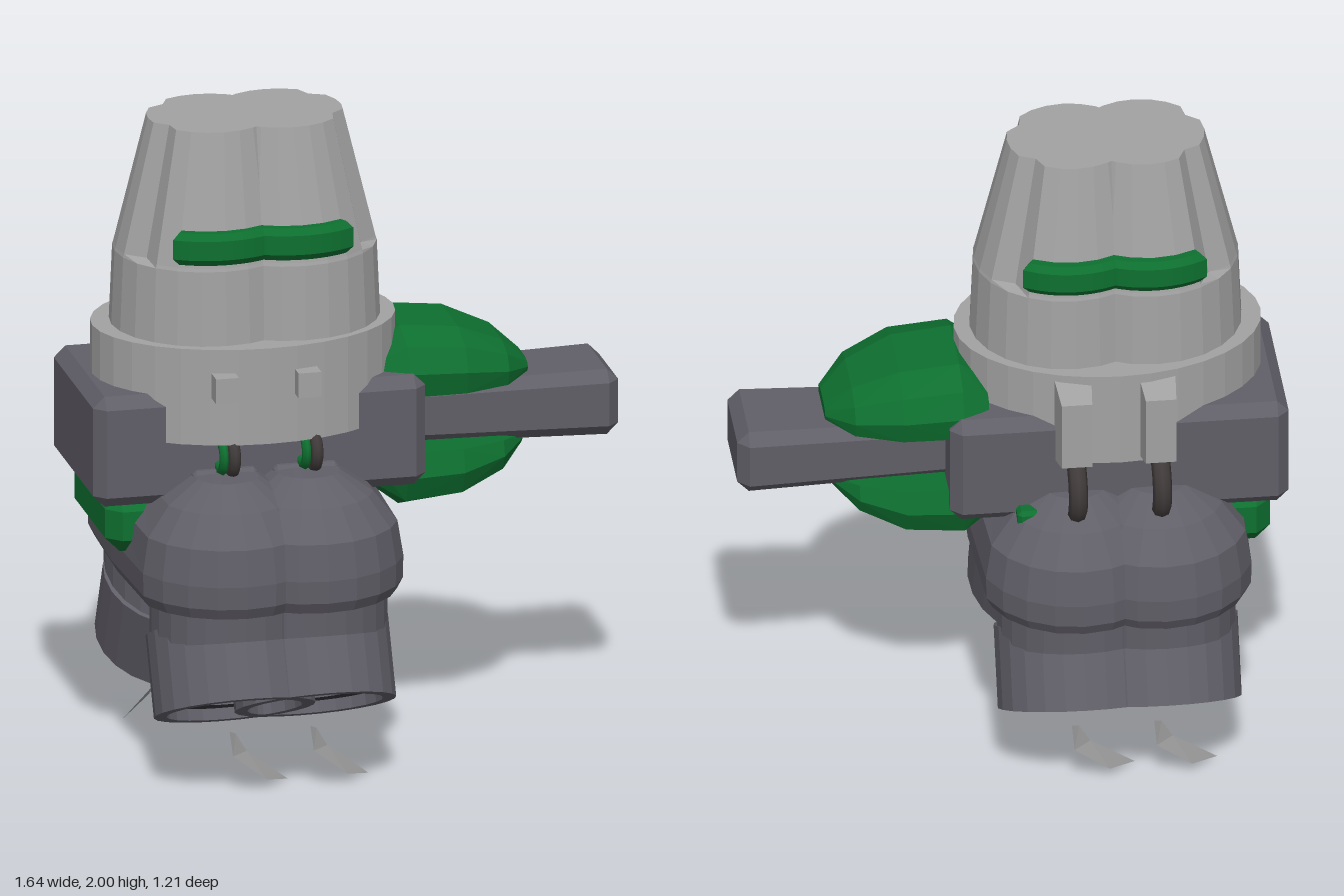
import * as THREE from 'three';
import { ConvexGeometry } from 'three/addons/geometries/ConvexGeometry.js';

const mat = (name, color) => {
  const m = new THREE.MeshStandardMaterial({ color });
  m.name = name;
  return m;
};
const V = (x, y, z) => new THREE.Vector3(x, y, z);

// faceted normals
function flat(geo) {
  const g = geo.index ? geo.toNonIndexed() : geo;
  g.computeVertexNormals();
  return g;
}

// moves every vertex by a rule
function warp(geo, rule) {
  const p = geo.attributes.position, v = V(0, 0, 0);
  for (let i = 0; i < p.count; i++) {
    rule(v.fromBufferAttribute(p, i));
    p.setXYZ(i, v.x, v.y, v.z);
  }
  return geo;
}

const lathe = (pts, n = 24) => new THREE.LatheGeometry(pts.map(p => new THREE.Vector2(p[0], p[1])), n);

// chamfered box from its limits; rule can reshape the corners
function chamferBox([x0, x1], [y0, y1], [z0, z1], c, rule = () => {}) {
  const pts = [];
  const h = [(x1 - x0) / 2, (y1 - y0) / 2, (z1 - z0) / 2];
  for (const sx of [-1, 1]) for (const sy of [-1, 1]) for (const sz of [-1, 1])
    for (let k = 0; k < 3; k++) {
      const d = h.map((v, i) => (i === k ? v : v - c));
      const p = V((x0 + x1) / 2 + sx * d[0], (y0 + y1) / 2 + sy * d[1], (z0 + z1) / 2 + sz * d[2]);
      rule(p);
      pts.push(p);
    }
  return new ConvexGeometry(pts);
}

export function createModel() {
  const model = new THREE.Group();
  const light = mat('light grey', 0xa2a2a2);
  const dark = mat('dark grey', 0x605e67);
  const green = mat('green', 0x0e7030);
  const hose = mat('hose brown', 0x403a3a);
  const inner = mat('inner black', 0x39393c);
  const plate = mat('claw grey', 0x9a9a9a);
  plate.side = THREE.DoubleSide;

  const add = (name, geo, material, parent = model) => {
    const m = new THREE.Mesh(geo, material);
    m.name = name;
    parent.add(m);
    return m;
  };
  const cx = -0.3075, cz = -0.012;

  // collar ring around the tower foot
  const collar = new THREE.CylinderGeometry(1, 1, 0.3, 32);
  collar.scale(0.462, 1, 0.342);
  collar.translate(-0.3125, 1.21, -0.015);
  add('collar', flat(collar), light);

  for (const s of [-1, 1]) {
    // tower lobe: straight drum, then taper with two grooves on the outer side
    const lobe = lathe([[0, 1.3], [0.287, 1.3], [0.287, 1.36], [0.277, 1.59], [0.274, 1.6], [0.19, 2], [0, 2]]);
    warp(lobe, v => {
      const a = Math.round(Math.atan2(v.z, v.x * s) * 180 / Math.PI);
      if (v.y > 1.595 && (a === 30 || a === -45)) { v.x *= 0.87; v.z *= 0.87; }
      const t = Math.max(0, (v.y - 1.59) / 0.41);
      v.x += cx + s * (0.122 - 0.015 * t);
      v.z += cz;
    });
    add('towerLobe', flat(lobe), light);

    // curved visors, front and back
    for (const back of [0, 1]) {
      const side = back ? -s : s;
      const lo = side > 0 ? 60 : 60 - 6, hi = side > 0 ? 126 : 120;
      const r0 = 0.225, r1 = 0.275, a0 = lo * Math.PI / 180, a1 = hi * Math.PI / 180;
      const sh = new THREE.Shape();
      sh.absarc(0, 0, r1, a0, a1, false);
      sh.absarc(0, 0, r0, a1, a0, true);
      const g = new THREE.ExtrudeGeometry(sh, {
        depth: 0.06, bevelEnabled: true, bevelSize: 0.015, bevelThickness: 0.02, bevelSegments: 1, curveSegments: 5
      });
      g.translate(0, 0, -0.03);
      g.rotateX(Math.PI / 2);
      if (back) g.rotateY(Math.PI);
      g.translate(cx + s * 0.119, 1.66, cz);
      add(back ? 'rearVisor' : 'frontVisor', flat(g), green);
    }
  }

  // chassis block, arm and green covers
  add('chassis', chamferBox([-0.825, 0.195], [0.862, 1.207], [-0.335, 0.245], 0.035), dark);
  add('arm', chamferBox([0.1, 0.82], [0.93, 1.135], [-0.21, 0.11], 0.035, p => {
    const k = 0.86 + 0.14 * Math.min(1, Math.max(0, (p.x - 0.1) / 0.65));
    p.y = 1.033 + (p.y - 1.033) * k;
    p.z = -0.05 + (p.z + 0.05) * k;
  }), dark);
  const sections = [[0.07, 0.22, 1.26], [0.15, 0.25, 1.318], [0.33, 0.247, 1.3], [0.47, 0.19, 1.24], [0.55, 0.09, 1.17]];
  for (const up of [1, -1]) {
    const pts = [];
    for (const [x, w, top] of sections) for (const s of [-1, 1]) {
      const low = x > 0.5 ? 1.135 : 1.125, h = top - low;
      for (const [kw, kh] of [[0.92, 0], [1, 0.4], [0.86, 0.8], [0.45, 1]])
        pts.push(V(up > 0 ? x : x * 0.97, 1.038 + up * (low + h * kh - 1.038), -0.045 + s * w * kw));
    }
    add(up > 0 ? 'upperCover' : 'lowerCover', new ConvexGeometry(pts), green);
  }
  add('sideCover', chamferBox([-0.775, -0.42], [0.7, 0.88], [-0.29, 0.2], 0.045), green);
  add('rearTab', chamferBox([-0.07, 0], [0.86, 0.92], [-0.385, -0.3], 0.012), green);

  // fittings and hoses in pairs
  for (const x of [-0.43, -0.177]) {
    const knob = new THREE.BoxGeometry(0.07, 0.078, 0.1);
    knob.translate(x - 0.018, 1.248, 0.315);
    add('frontKnob', knob, light);

    const box = warp(new THREE.BoxGeometry(0.115, 0.285, 0.13), v => {
      if (v.z < 0) { v.x *= 0.8; v.y *= 0.76; }
      v.x += x + 0.004; v.y += 1.2025; v.z -= 0.363;
    });
    add('rearBox', flat(box), light);

    const rear = add('rearHose', new THREE.TorusGeometry(0.092, 0.029, 8, 20), hose);
    rear.rotation.y = Math.PI / 2;
    rear.position.set(x + 0.002, 0.995, -0.356);
    const front = add('frontHose', new THREE.TorusGeometry(0.05, 0.019, 8, 16), hose);
    front.rotation.y = Math.PI / 2;
    front.position.set(x + 0.015, 1.015, 0.27);
    const strip = add('frontStrip', new THREE.TorusGeometry(0.045, 0.016, 6, 16), green);
    strip.rotation.y = Math.PI / 2;
    strip.position.set(x - 0.014, 1.015, 0.265);
  }

  // legs: a long domed hip with two bent legs under each side
  for (const x of [-0.43, -0.182]) {
    const side = new THREE.Group();
    side.name = 'legPair';
    side.position.set(x, 0, -0.005);
    model.add(side);

    const hip = lathe([[0, 0.585], [0.27, 0.585], [0.288, 0.62], [0.29, 0.69], [0.272, 0.8], [0.2, 0.89], [0.1, 0.955], [0, 0.972]], 20);
    warp(hip, v => { if (Math.abs(v.z) > 1e-6) v.z += Math.sign(v.z) * 0.272; });
    // ridge cap closing the stretched dome top and floor
    add('hip', flat(hip), dark, side);
    add('hipCore', chamferBox([-0.1, 0.1], [0.586, 0.968], [-0.275, 0.275], 0.012), dark, side);

    for (const turn of [0, Math.PI]) {
      const leg = new THREE.Group();
      leg.name = turn ? 'rearLeg' : 'frontLeg';
      leg.rotation.y = turn;
      side.add(leg);

      const shin = warp(new THREE.CylinderGeometry(0.235, 0.235, 0.22, 24), v => {
        if (v.y < 0) v.y = 0.44 + v.z * 0.3;
        else v.y = 0.64;
        v.z += 0.3;
      });
      add('shin', flat(shin), dark, leg);

      const foot = new THREE.Group();
      foot.name = 'foot';
      foot.position.set(0, 0.249, 0.385);
      foot.rotation.x = -0.446;
      leg.add(foot);
      add('footShell', flat(lathe([[0.205, 0.035], [0.205, 0], [0.243, 0], [0.243, 0.25], [0, 0.26]])), dark, foot);
      add('footFloor', flat(lathe([[0.13, 0.035], [0.205, 0.035]])), inner, foot);
      add('footSocket', flat(lathe([[0.13, 0.12], [0.13, 0.035]])), dark, foot);
      add('footCore', flat(lathe([[0, 0.12], [0.13, 0.12]])), inner, foot);

      // bent claw plate below the foot
      const rows = [
        [-0.025, 0.196, 0.425, 0.0, 0.18, 0.4],
        [-0.02, 0.125, 0.45, 0.035, 0.12, 0.39],
        [0.09, 0.035, 0.42, 0.175, 0.005, 0.335]
      ];
      const claw = new THREE.BufferGeometry();
      claw.setAttribute('position', new THREE.Float32BufferAttribute(rows.flat(), 3));
      claw.setIndex([0, 2, 1, 1, 2, 3, 2, 4, 3, 3, 4, 5]);
      add('claw', flat(claw), plate, leg);
    }
  }
  return model;
}
